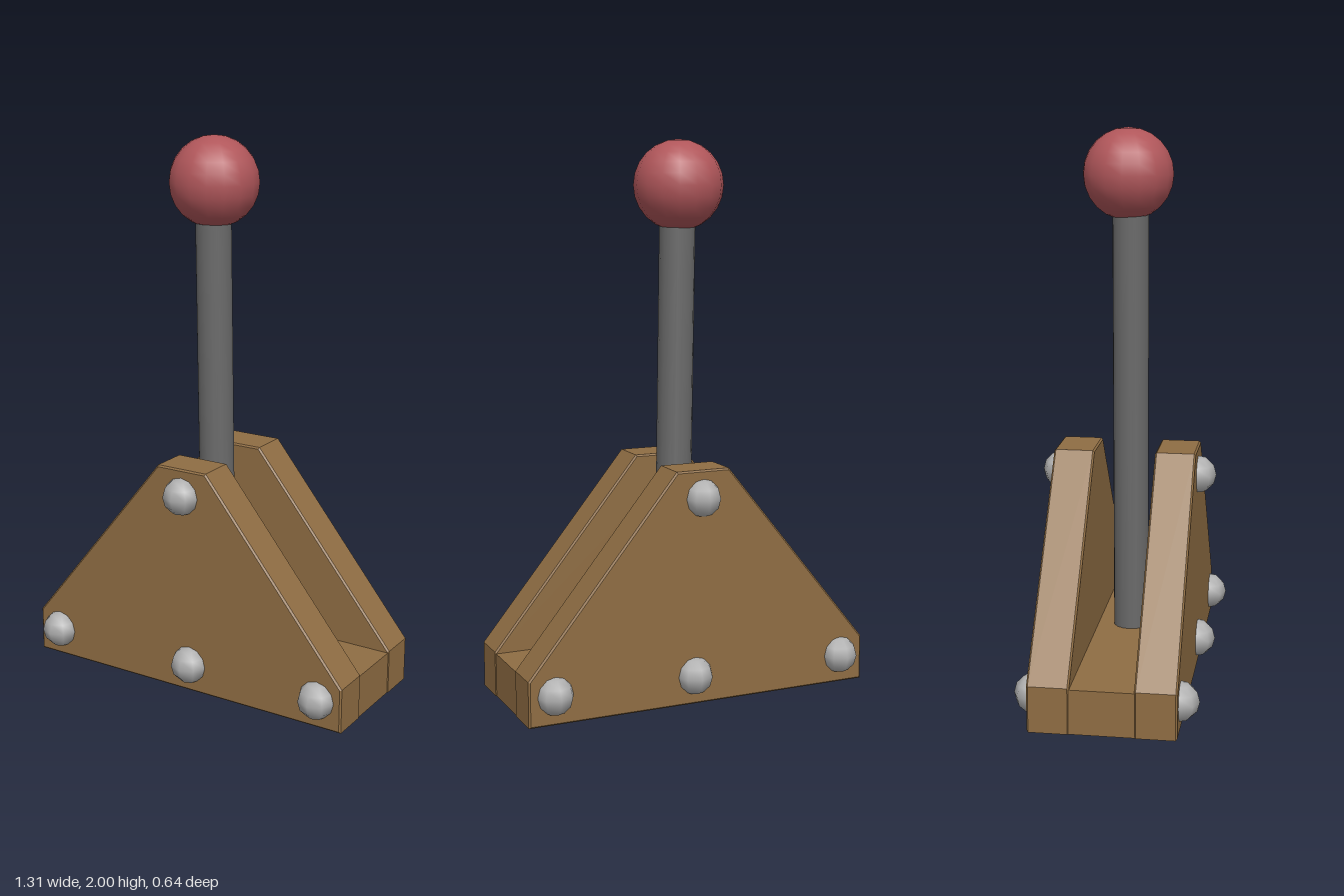
import * as THREE from 'three';

const wood = new THREE.MeshStandardMaterial({ color: 0x8f6d43 });
const steel = new THREE.MeshStandardMaterial({ color: 0x6a6a6a });
const boltMetal = new THREE.MeshStandardMaterial({ color: 0xb0b0b0 });
const red = new THREE.MeshStandardMaterial({ color: 0xb0565a });

export function createModel() {
  const group = new THREE.Group();
  const add = (name, geometry, material, x = 0, y = 0, z = 0) => {
    const mesh = new THREE.Mesh(geometry, material);
    mesh.name = name;
    mesh.position.set(x, y, z);
    group.add(mesh);
    return mesh;
  };

  // Two side plates with a tapered outline and a fine bevel
  const bevel = 0.006, thickness = 0.147;
  const w = 0.657 - bevel, top = 0.85 - bevel;
  const outline = new THREE.Shape([
    [-w, bevel], [w, bevel], [w, 0.163], [0.098, top], [-0.098, top], [-w, 0.163],
  ].map(([x, y]) => new THREE.Vector2(x, y)));
  const plate = new THREE.ExtrudeGeometry(outline, {
    depth: thickness - 2 * bevel, bevelSize: bevel, bevelThickness: bevel, bevelSegments: 1,
  });
  add('frontPlate', plate, wood, 0, 0, 0.103 + bevel);
  add('backPlate', plate, wood, 0, 0, -0.265 + bevel);

  // Base block joining the plates
  add('base', new THREE.BoxGeometry(1.308, 0.16, 0.5), wood, 0, 0.08, -0.0075);

  // Rod, leaning slightly, with the knob on its end
  const foot = new THREE.Vector3(0.004, 0.1, 0.003);
  const head = new THREE.Vector3(-0.021, 1.78, 0.003);
  const dir = head.clone().sub(foot);
  const rod = add('leverRod', new THREE.CylinderGeometry(0.065, 0.065, dir.length(), 16), steel);
  rod.position.copy(foot).add(head).multiplyScalar(0.5);
  rod.quaternion.setFromUnitVectors(new THREE.Vector3(0, 1, 0), dir.normalize());
  add('knob', new THREE.SphereGeometry(0.162, 16, 12), red, -0.021, 1.838, -0.005);

  // Domed bolts on both outer faces
  const bolt = new THREE.SphereGeometry(0.069, 8, 6);
  for (const [x, y] of [[-0.565, 0.105], [0.03, 0.105], [0.56, 0.105], [0, 0.75]]) {
    add('frontBolt', bolt, boltMetal, x, y, 0.248);
    add('backBolt', bolt, boltMetal, x, y, -0.256);
  }
  return group;
}
